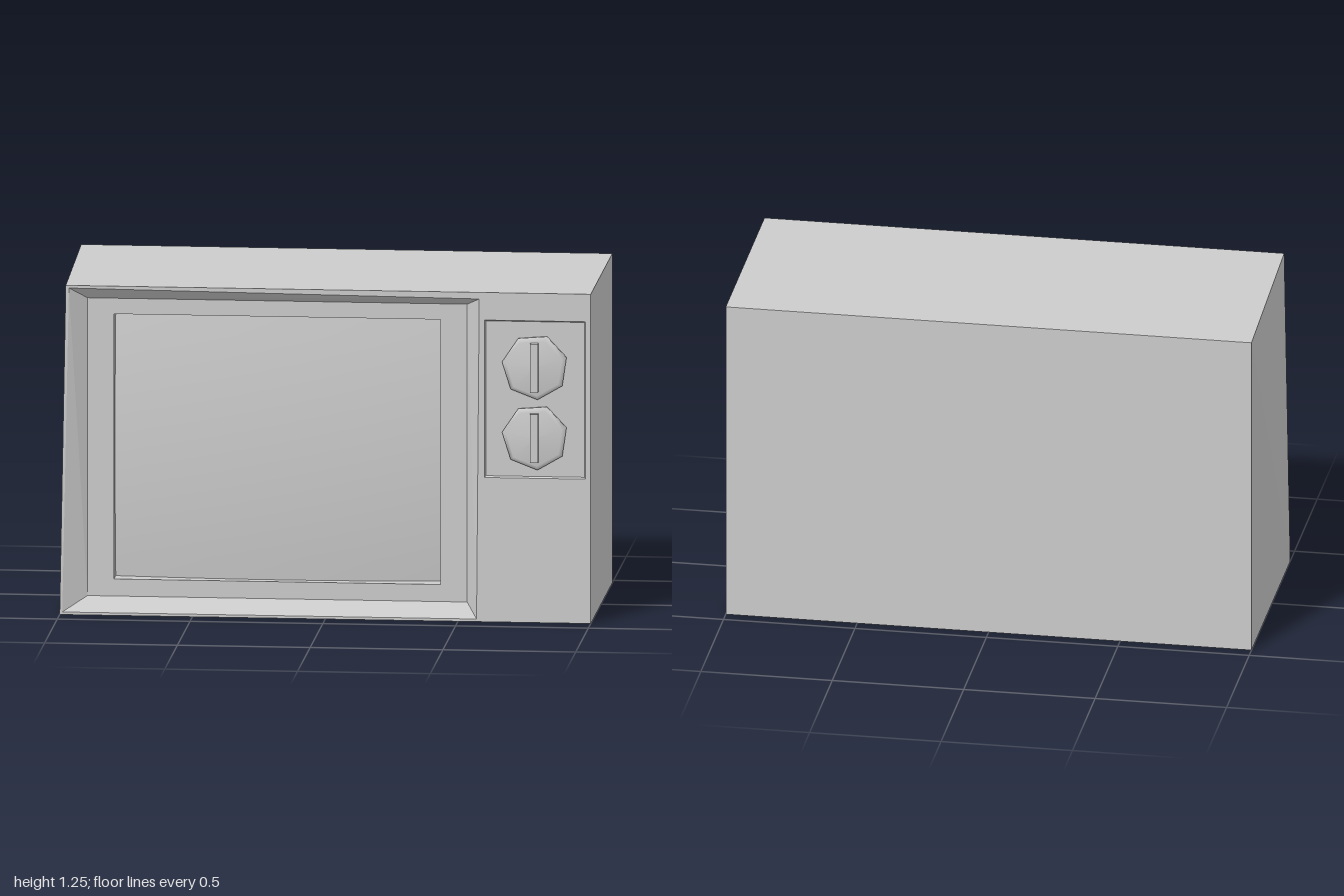
import * as THREE from 'three';

const FRONT = 0.405, BACK = -0.45, BEZEL = 0.355, SCREEN = 0.285;

const material = () => new THREE.MeshStandardMaterial({ color: 0xcccccc });

function add(parent, name, geometry) {
  const mesh = new THREE.Mesh(geometry, material());
  mesh.name = name;
  parent.add(mesh);
  return mesh;
}

// Four corners at depth z, anticlockwise from the bottom left as seen from the front
const loop = (z, corners) => corners.map(([x, y]) => new THREE.Vector3(x, y, z));
const rect = (x0, x1, y0, y1) => [[x0, y0], [x1, y0], [x1, y1], [x0, y1]];

// Flat-sided skin through a series of four-cornered loops
function skin(loops, capStart = false, capEnd = false) {
  const pts = [];
  const quad = (a, b, c, d) => pts.push(a, b, c, a, c, d);
  for (let k = 0; k < loops.length - 1; k++) {
    const a = loops[k], b = loops[k + 1];
    for (let i = 0; i < 4; i++) {
      const j = (i + 1) % 4;
      quad(a[i], a[j], b[j], b[i]);
    }
  }
  if (capStart) quad(...[...loops[0]].reverse());
  if (capEnd) quad(...loops[loops.length - 1]);
  const geometry = new THREE.BufferGeometry().setFromPoints(pts);
  geometry.computeVertexNormals();
  return geometry;
}

function makeKnob(name, y) {
  const knob = new THREE.Group();
  knob.name = name;
  knob.position.set(0.79, y, FRONT);
  // Seven-sided dial with a sloping rim and a slightly domed face
  const profile = [[0.123, -0.013], [0.125, 0.006], [0.108, 0.021], [0, 0.027]]
    .map(([r, h]) => new THREE.Vector2(r, h));
  const dial = new THREE.LatheGeometry(profile, 7);
  dial.rotateX(Math.PI / 2);
  dial.rotateZ(0.08);
  add(knob, 'knobDial', dial);
  // Upright finger grip
  const grip = add(knob, 'knobGrip', new THREE.BoxGeometry(0.03, 0.185, 0.04));
  grip.position.set(0, 0.002, 0.027);
  return knob;
}

export function createModel() {
  const model = new THREE.Group();
  model.name = 'television';

  const outline = [[-1, 0], [1, 0], [1, 1.255], [-0.977, 1.255]];
  const recess = [[-0.99, 0.01], [0.57, 0.01], [0.58, 1.23], [-0.965, 1.245]];
  const opening = rect(-0.8, 0.43, 0.13, 1.14);
  const panel = rect(0.6, 0.98, 0.55, 1.15);

  // Cabinet sides and back; the left side tapers slightly towards the front
  add(model, 'cabinet', skin([loop(BACK, rect(-1, 1, 0, 1.255)), loop(FRONT, outline)], true));

  // Front face with openings for the screen and the controls
  const toPoints = (corners) => corners.map(([x, y]) => new THREE.Vector2(x, y));
  const face = new THREE.Shape(toPoints(outline));
  for (const hole of [recess, panel]) face.holes.push(new THREE.Path(toPoints(hole)));
  const front = new THREE.ShapeGeometry(face);
  front.translate(0, 0, FRONT);
  add(model, 'frontFace', front);

  // Sloping surround, flat bezel and the walls behind it
  add(model, 'screenSurround', skin([
    loop(FRONT, recess),
    loop(BEZEL, rect(-0.9, 0.53, 0.065, 1.2)),
    loop(BEZEL, opening),
    loop(SCREEN - 0.005, opening),
  ]));

  // Bulging picture tube
  const screen = new THREE.PlaneGeometry(1.23, 1.01, 12, 12);
  const pos = screen.attributes.position;
  for (let i = 0; i < pos.count; i++) {
    const u = pos.getX(i) / 0.615, v = pos.getY(i) / 0.505;
    pos.setZ(i, 0.03 * (1 - u * u) + 0.03 * (1 - v * v));
  }
  screen.computeVertexNormals();
  add(model, 'screen', screen).position.set(-0.185, 0.635, SCREEN);

  // Shallow sunken control panel
  add(model, 'controlPanel', skin([
    loop(FRONT, panel),
    loop(FRONT - 0.012, rect(0.605, 0.975, 0.555, 1.145)),
  ], false, true));

  model.add(makeKnob('upperKnob', 0.975), makeKnob('lowerKnob', 0.707));
  return model;
}
